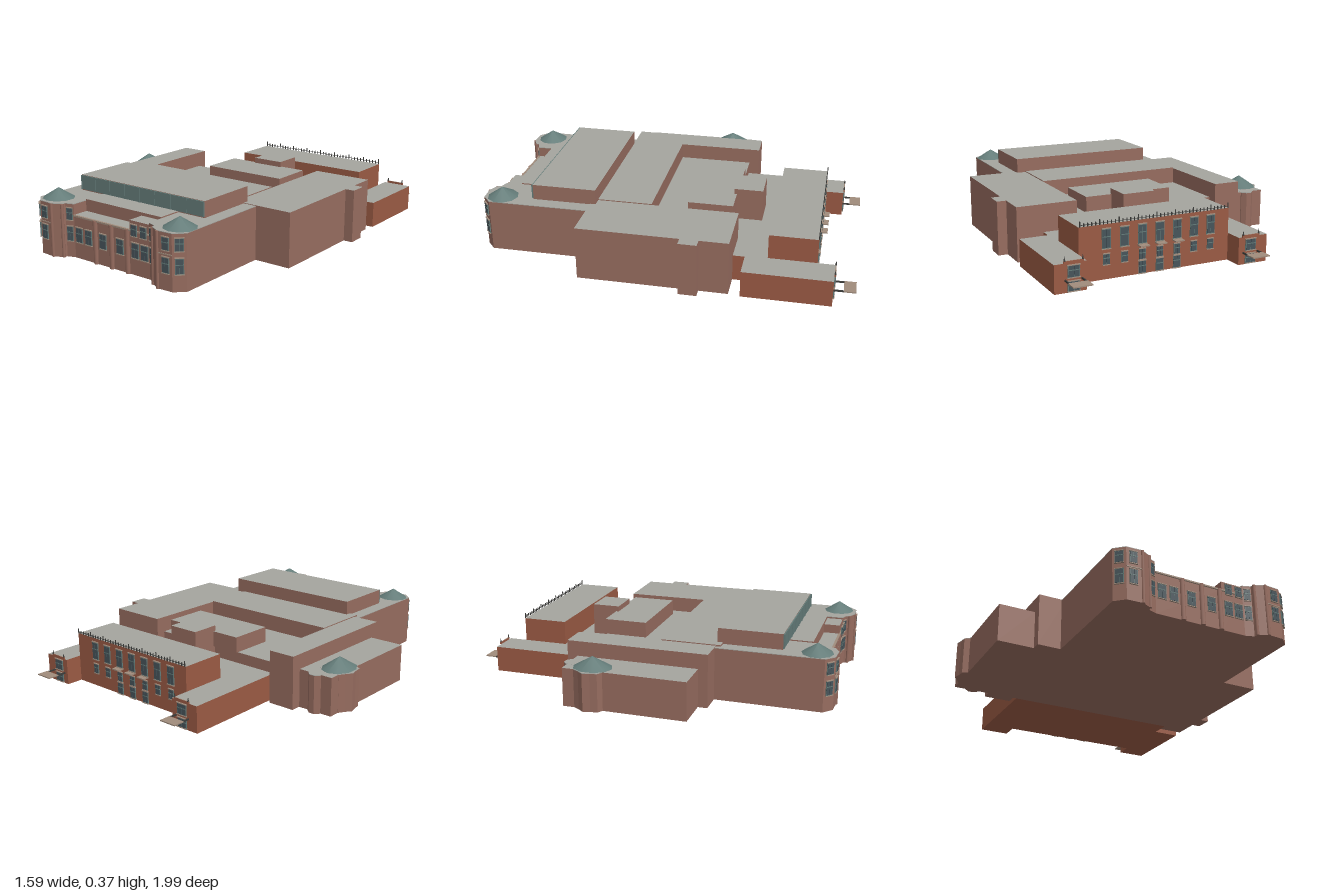
import * as THREE from 'three';

const mat = (name, color) => {
  const m = new THREE.MeshStandardMaterial({ color });
  m.name = name;
  return m;
};

export function createModel() {
  const model = new THREE.Group();
  model.name = 'building';
  const brick = mat('brown brick', 0x966c5f);
  const red = mat('red brick', 0x9a5a44);
  const roof = mat('grey roof', 0xa4a49e);
  const teal = mat('green copper', 0x647c79);
  const glass = mat('dark glass', 0x46545a);
  const trim = mat('stone trim', 0xa08c7c);
  const iron = mat('dark iron', 0x3c3c3a);

  const add = (name, geo, m, x = 0, y = 0, z = 0, parent = model) => {
    const mesh = new THREE.Mesh(geo, m);
    mesh.name = name;
    mesh.position.set(x, y, z);
    parent.add(mesh);
    return mesh;
  };

  // Box given by its limits; top face takes its own material
  const block = (name, x0, x1, y0, y1, z0, z1, wall = brick, top = roof) =>
    add(name, new THREE.BoxGeometry(x1 - x0, y1 - y0, z1 - z0),
      [wall, wall, top, wall, wall, wall], (x0 + x1) / 2, (y0 + y1) / 2, (z0 + z1) / 2);

  // Upright prism over an outline of [x, z] points, with a thin roof sheet
  const prism = (name, pts, h, wall = brick) => {
    const shape = new THREE.Shape(pts.map(([x, z]) => new THREE.Vector2(x, -z)));
    const slab = (d) => new THREE.ExtrudeGeometry(shape, { depth: d, bevelEnabled: false }).rotateX(-Math.PI / 2);
    add(name, slab(h - 0.003), wall);
    add(name + 'Roof', slab(0.003), roof, 0, h - 0.003, 0);
  };

  // Framed window facing +z before its turn
  const windowAt = (x, y, z, w, h, turn = 0) => {
    const g = new THREE.Group();
    g.name = 'window';
    add('frame', new THREE.BoxGeometry(w, h, 0.005), teal, 0, 0, 0, g);
    for (const s of [-1, 1])
      add('pane', new THREE.BoxGeometry(w * 0.42, h * 0.88, 0.003), glass, s * w * 0.23, 0, 0.003, g);
    add('transom', new THREE.BoxGeometry(w, 0.004, 0.003), teal, 0, h * 0.1, 0.004, g);
    add('sill', new THREE.BoxGeometry(w * 1.1, 0.004, 0.008), trim, 0, -h / 2, 0.002, g);
    add('lintel', new THREE.BoxGeometry(w * 1.1, 0.004, 0.008), trim, 0, h / 2, 0.002, g);
    g.position.set(x, y, z);
    g.rotation.y = turn;
    model.add(g);
  };

  // Low cone roof on a turret
  const cone = (name, x, y, z, rx, rz, h) => {
    const c = add(name, new THREE.ConeGeometry(1, h, 10), teal, x, y + h / 2, z);
    c.scale.set(rx, 1, rz);
  };

  // Main hall: side wings, centre and sunken court
  block('mainWingLeft', 0.415, 0.74, 0, 0.285, -0.38, 0.4);
  block('mainWingRight', -0.56, -0.41, 0, 0.285, -0.385, 0.375);
  block('mainCentre', -0.41, 0.415, 0, 0.29, 0.08, 0.4);
  block('court', -0.41, 0.415, 0, 0.2, -0.33, 0.08);
  block('courtBlock', -0.145, 0.345, 0.2, 0.285, -0.34, -0.1);
  block('plantRoom', 0.02, 0.2, 0.14, 0.315, -0.48, -0.325);
  block('sideBay', 0.74, 0.79, 0, 0.285, -0.23, -0.135);

  // Side annex with its turret
  block('annex', -0.755, -0.56, 0, 0.205, -0.33, 0.325);
  const ring = (cx, cz, r, n, lobe = 0) => Array.from({ length: n }, (_, i) => {
    const a = (i + 0.5) / n * Math.PI * 2, q = r - (i % 2) * lobe;
    return [cx + Math.cos(a) * q, cz + Math.sin(a) * q];
  });
  prism('turret', ring(-0.7, -0.185, 0.1, 16, 0.01), 0.206);
  prism('turretButtress', ring(-0.655, -0.32, 0.04, 8), 0.2055);
  cone('turretRoof', -0.7, 0.206, -0.185, 0.085, 0.105, 0.06);

  // Front body and corner towers
  const mid = 0.0525;
  const side = [[-0.435, 0.37], [-0.435, 0.935], [-0.385, 0.98], [-0.3, 0.985],
    [-0.25, 0.96], [-0.245, 0.94], [-0.2, 0.925], [-0.2, 0.37]];
  const flip = (p) => p.map(([x, z]) => [2 * mid - x, z]);
  prism('towerBodyRight', side, 0.282);
  prism('towerBodyLeft', flip(side).reverse(), 0.282);
  block('frontCentre', -0.2, 0.305, 0, 0.288, 0.37, 0.84);
  block('porch', -0.2, 0.18, 0, 0.225, 0.84, 0.925);
  block('porchReturn', 0.18, 0.305, 0, 0.272, 0.84, 0.925);
  block('porchCornice', -0.2, 0.305, 0.218, 0.226, 0.92, 0.932, trim, trim);
  cone('towerRoofRight', -0.35, 0.282, 0.885, 0.085, 0.082, 0.053);
  cone('towerRoofLeft', 0.46, 0.282, 0.885, 0.085, 0.082, 0.053);

  // Raised upper storey with its copper front
  block('upperStorey', -0.36, 0.465, 0.28, 0.365, 0.37, 0.712);
  block('upperFront', -0.36, 0.465, 0.288, 0.363, 0.712, 0.718, teal, teal);
  for (let i = 0; i <= 8; i++) {
    const x = -0.355 + i * 0.1019;
    block('frontRib', x - 0.002, x + 0.002, 0.288, 0.363, 0.718, 0.721, teal, teal);
  }

  // Front pilasters
  for (const x of [-0.05, 0.06, 0.165])
    add('pilaster', new THREE.CylinderGeometry(0.013, 0.013, 0.224, 10), brick, x, 0.112, 0.926);
  for (const x of [-0.3, -0.25, 0.355, 0.405])
    add('towerPilaster', new THREE.CylinderGeometry(0.008, 0.008, 0.28, 8), brick, x, 0.14, Math.abs(x - mid) > 0.33 ? 0.984 : 0.959);

  // Front windows
  for (const x of [-0.165, -0.1, 0, 0.115, 0.215, 0.275]) windowAt(x, 0.125, 0.927, 0.045, 0.08);
  for (const x of [0.215, 0.275]) windowAt(x, 0.228, 0.934, 0.038, 0.06);
  for (const [y, h] of [[0.125, 0.08], [0.228, 0.066]])
    for (const s of [1, -1]) {
      const px = (x) => (s > 0 ? x : 2 * mid - x);
      windowAt(px(-0.412), y, 0.96, 0.042, h, -0.73 * s);
      windowAt(px(-0.35), y, 0.985, 0.04, h, -0.06 * s);
      windowAt(px(-0.223), y, 0.934, 0.034, h, 0.32 * s);
      // Stone band between storeys
      add('towerBand', new THREE.BoxGeometry(0.085, 0.005, 0.008), trim, px(-0.3425), 0.177, 0.982).rotation.y = -0.06 * s;
    }

  // Rear low range, hall and end pavilions
  block('rearRange', -0.39, 0.6, 0, 0.14, -0.56, -0.33, red);
  block('rearHall', -0.225, 0.59, 0, 0.27, -0.8, -0.555, red);
  block('rearPavilionRight', -0.39, -0.225, 0, 0.14, -0.9, -0.555, red);
  block('rearPavilionLeft', 0.59, 0.75, 0, 0.14, -0.89, -0.44, red);

  // Rear windows, doors and door canopies
  for (let i = 0; i < 7; i++) {
    const x = -0.12 + i * 0.095;
    windowAt(x, 0.2, -0.802, 0.045, 0.1, Math.PI);
    windowAt(x, 0.1, -0.802, 0.035, 0.055, Math.PI);
    if (i > 1 && i < 5) {
      windowAt(x, 0.035, -0.802, 0.04, 0.065, Math.PI);
      block('doorCanopy', x - 0.025, x + 0.025, 0.143, 0.149, -0.835, -0.8, trim, trim);
    }
  }

  // Roof cresting along the rear hall
  block('crestRail', -0.22, 0.585, 0.278, 0.28, -0.803, -0.8, iron, iron);
  for (let i = 0; i <= 40; i++) {
    const x = -0.22 + i * 0.0201, h = i % 5 ? 0.018 : 0.028;
    add('crestPost', new THREE.BoxGeometry(0.004, h, 0.004), iron, x, 0.27 + h / 2, -0.802);
  }

  // Pavilion doors with hung canopies
  for (const [x, z] of [[-0.293, -0.9], [0.655, -0.89]]) {
    windowAt(x, 0.1, z - 0.002, 0.06, 0.06, Math.PI);
    windowAt(x, 0.03, z - 0.002, 0.06, 0.05, Math.PI);
    block('pavilionCrest', x - 0.05, x + 0.05, 0.14, 0.152, z - 0.006, z, red, trim);
    block('canopy', x - 0.048, x + 0.048, 0.058, 0.064, -1, -0.94, trim, trim);
    for (const s of [-1, 1]) {
      block('canopyArm', x + s * 0.042 - 0.003, x + s * 0.042 + 0.003, 0.056, 0.064, -0.94, z, iron, iron);
      add('finial', new THREE.ConeGeometry(0.005, 0.025, 6), iron, x + s * 0.045, 0.163, z - 0.003);
    }
  }
  return model;
}
